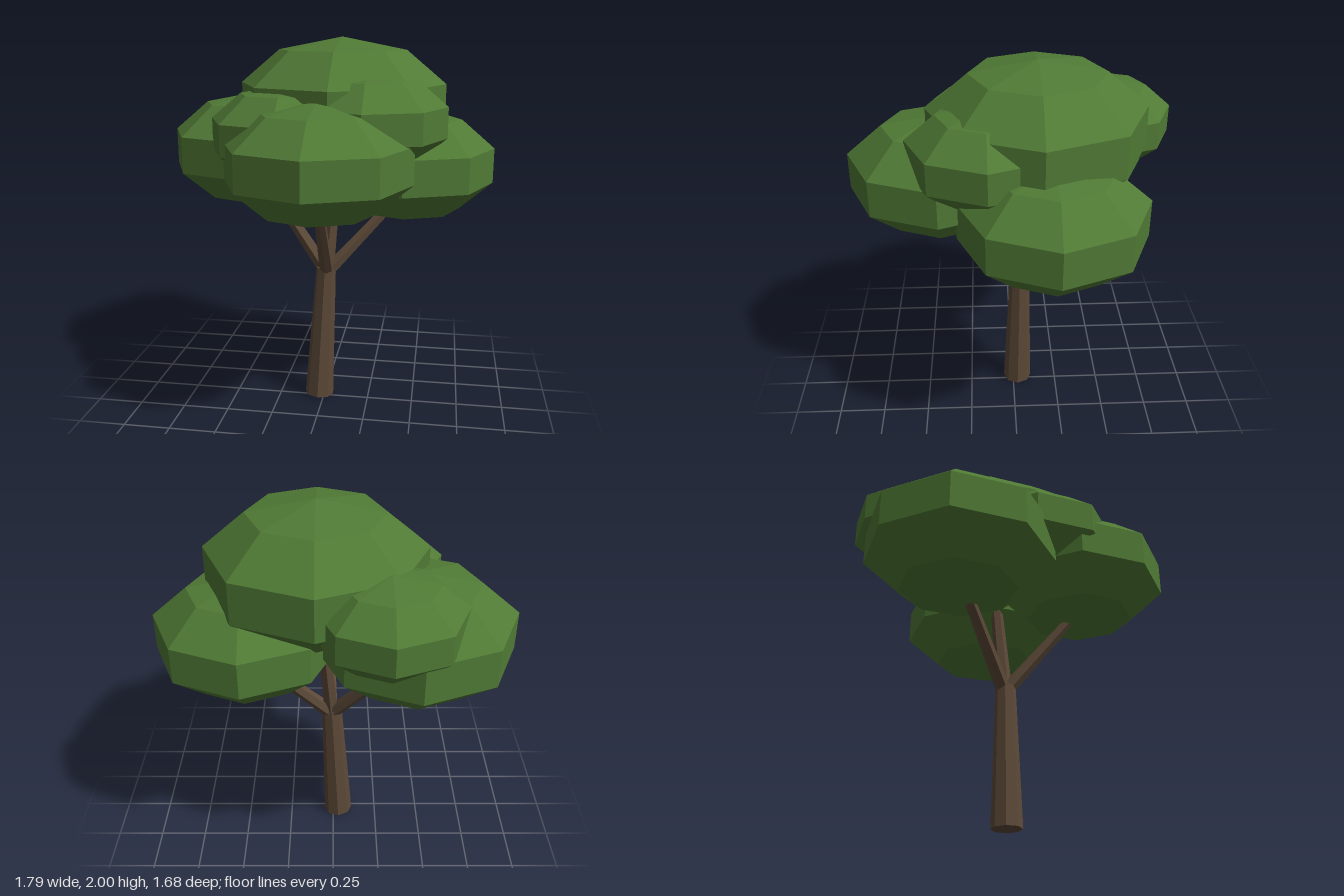
import * as THREE from 'three';

export function createModel() {
  const tree = new THREE.Group();
  tree.name = 'tree';
  const bark = new THREE.MeshStandardMaterial({ name: 'bark brown', color: 0x5c4938, flatShading: true });
  const leaf = new THREE.MeshStandardMaterial({ name: 'leaf green', color: 0x507a35, flatShading: true });

  // Tapered faceted limb between two points
  function limb(name, from, to, r0, r1, sides) {
    const a = new THREE.Vector3(...from), b = new THREE.Vector3(...to);
    const dir = b.clone().sub(a);
    const mesh = new THREE.Mesh(new THREE.CylinderGeometry(r1, r0, dir.length(), sides), bark);
    mesh.name = name;
    mesh.position.copy(a).add(b).multiplyScalar(0.5);
    mesh.quaternion.setFromUnitVectors(new THREE.Vector3(0, 1, 0), dir.normalize());
    tree.add(mesh);
  }

  // Flattened low-poly leaf clump
  function clump(name, x, y, z, r, ry) {
    const mesh = new THREE.Mesh(new THREE.SphereGeometry(1, 8, 5), leaf);
    mesh.name = name;
    mesh.position.set(x, y, z);
    mesh.scale.set(r, ry, r);
    tree.add(mesh);
  }

  // Leaning trunk and its four branches
  limb('trunk', [-0.03, 0.005, -0.025], [0.007, 0.76, -0.035], 0.08, 0.054, 8);
  const fork = [0.01, 0.73, -0.04];
  limb('rightBranch', fork, [-0.4, 1.23, -0.26], 0.04, 0.026, 6);
  limb('leftBranch', fork, [0.43, 1.19, -0.175], 0.04, 0.026, 6);
  limb('frontBranch', fork, [0.025, 1.22, 0.37], 0.04, 0.026, 6);
  limb('topBranch', fork, [0.07, 1.48, -0.11], 0.042, 0.028, 6);

  // Crown
  clump('topFoliage', 0.08, 1.655, -0.115, 0.573, 0.345);
  clump('frontFoliage', 0.025, 1.415, 0.37, 0.49, 0.298);
  clump('rightFoliage', -0.4, 1.385, -0.26, 0.52, 0.315);
  clump('leftFoliage', 0.43, 1.33, -0.175, 0.485, 0.3);
  clump('backFoliage', -0.26, 1.562, -0.49, 0.373, 0.23);
  clump('upperLeftFoliage', 0.25, 1.593, 0.135, 0.41, 0.25);
  clump('upperRightFoliage', -0.16, 1.52, 0.147, 0.42, 0.255);

  return tree;
}
